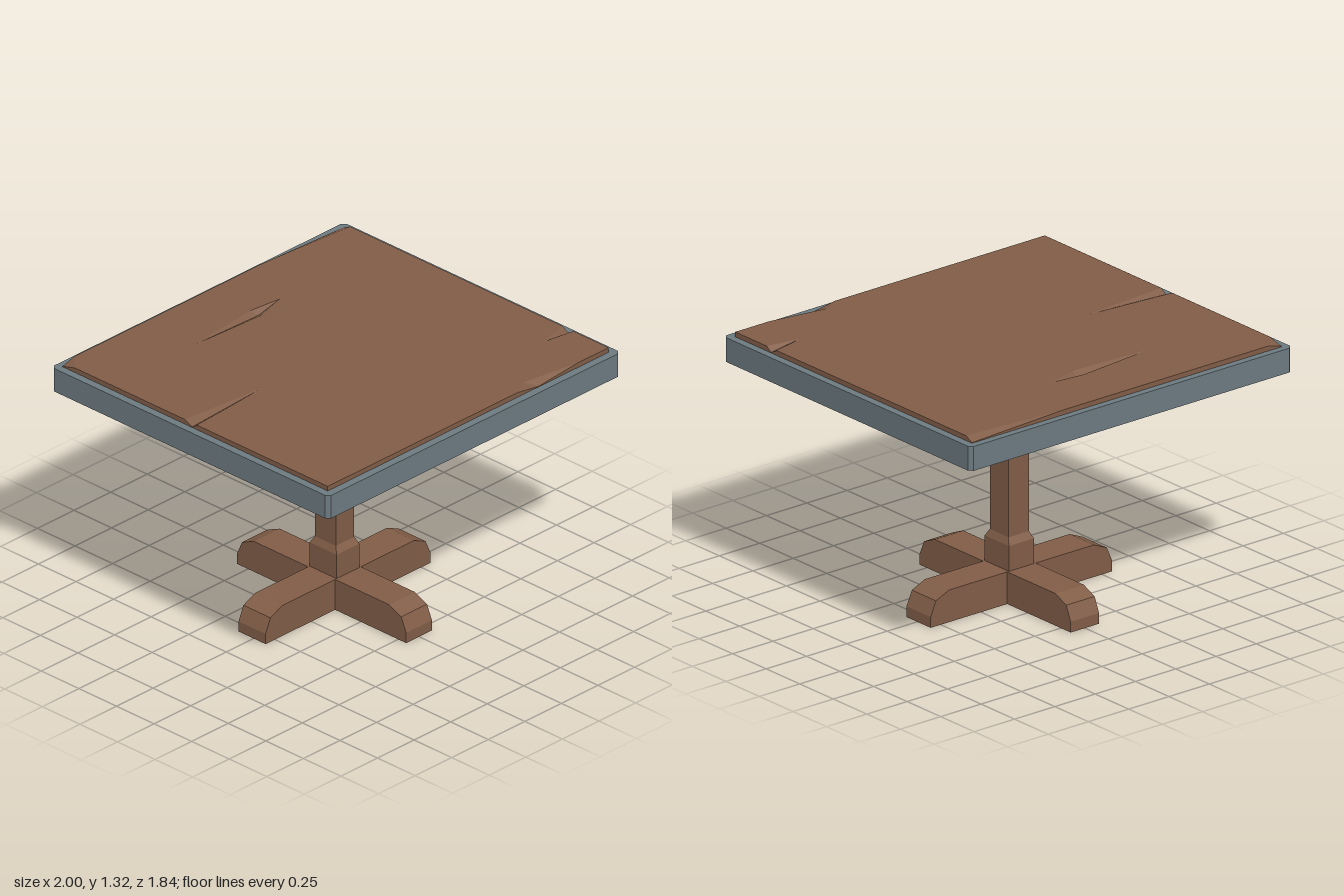
import * as THREE from 'three';

const wood = new THREE.MeshStandardMaterial({ color: 0x815d47 });
wood.name = 'brown wood';
const metal = new THREE.MeshStandardMaterial({ color: 0x6c7a80 });
metal.name = 'blue grey trim';

const TOP = 1.32, DIP = 1.298, UNDER = 1.18;
const CZ = -0.01; // the pedestal sits slightly behind centre

function addMesh(parent, name, geometry, material) {
  const mesh = new THREE.Mesh(geometry, material);
  mesh.name = name;
  parent.add(mesh);
  return mesh;
}

// Four-sided block tapering from half sizes [x, z] at y0 to those at y1
function taperedBlock(y0, y1, low, high) {
  const g = new THREE.BoxGeometry(2, y1 - y0, 2);
  g.translate(0, (y0 + y1) / 2, 0);
  const p = g.attributes.position;
  const mid = (y0 + y1) / 2;
  for (let i = 0; i < p.count; i++) {
    const h = p.getY(i) > mid ? high : low;
    p.setX(i, p.getX(i) * h[0]);
    p.setZ(i, p.getZ(i) * h[1] + CZ);
  }
  const flat = g.toNonIndexed();
  flat.computeVertexNormals();
  return flat;
}

// Worn wooden slab: flat top with V-shaped splits and chipped corners
function slabGeometry() {
  const hi = (x, z) => new THREE.Vector3(x, TOP, z);
  const lo = (x, z) => new THREE.Vector3(x, DIP, z);
  const X = 0.96, F = 0.88, B = -0.885;
  // Rim, counter-clockwise from above; notches run a, valley v, b, inner tip t
  const rim = [
    { p: hi(-X, F) },
    { a: hi(0.34, F), v: lo(0.48, F), b: hi(0.75, F), t: hi(0.43, 0.83) },
    { p: hi(X, F) },
    { a: hi(X, 0.645), v: lo(X, 0.612), b: hi(X, 0.57), t: hi(0.78, 0.615) },
    { a: hi(X, -0.84), v: lo(X, B), b: hi(0.4, B) },
    { a: hi(-0.88, B), v: lo(-X, B), b: hi(-X, -0.8) },
    { a: hi(-X, -0.07), v: lo(-X, -0.022), b: hi(-X, 0.01), t: hi(-0.47, -0.025) },
  ];
  const pos = [];
  const tri = (...pts) => pts.forEach((q) => pos.push(q.x, q.y, q.z));
  const outline = [], edge = [];
  for (const { p, a, v, b, t } of rim) {
    if (p) {
      outline.push(p);
      edge.push(p);
      continue;
    }
    outline.push(...(t ? [a, t, b] : [a, b]));
    edge.push(a, v, b);
    if (t) {
      tri(a, v, t);
      tri(v, b, t);
    } else tri(a, v, b);
  }

  // Split in the middle of the top
  const split = [hi(-0.4, -0.555), hi(0.04, -0.53), hi(0.21, -0.58), hi(0.03, -0.6)];
  const valley = lo(0.05, -0.567);
  split.forEach((q, i) => tri(q, split[(i + 1) % 4], valley));

  // Flat top around the notches
  const hole = [...split].reverse();
  const flat = (list) => list.map((q) => new THREE.Vector2(q.x, -q.z));
  const all = [...outline, ...hole];
  for (const f of THREE.ShapeUtils.triangulateShape(flat(outline), [flat(hole)])) {
    tri(all[f[0]], all[f[1]], all[f[2]]);
  }

  // Side walls and underside
  const down = (q) => new THREE.Vector3(q.x, UNDER, q.z);
  edge.forEach((q, i) => {
    const r = edge[(i + 1) % edge.length];
    tri(down(q), down(r), r);
    tri(down(q), r, q);
  });
  const c = [hi(-X, F), hi(X, F), hi(X, B), hi(-X, B)].map(down);
  tri(c[0], c[2], c[1]);
  tri(c[0], c[3], c[2]);

  const g = new THREE.BufferGeometry();
  g.setAttribute('position', new THREE.Float32BufferAttribute(pos, 3));
  g.computeVertexNormals();
  return g;
}

// Square ring with clipped corners
function frameGeometry() {
  const x = 1, z = 0.922, c = 0.02;
  const s = new THREE.Shape([
    [-x + c, -z], [x - c, -z], [x, -z + c], [x, z - c],
    [x - c, z], [-x + c, z], [-x, z - c], [-x, -z + c],
  ].map(([u, v]) => new THREE.Vector2(u, v)));
  s.holes.push(new THREE.Path([
    [-0.96, -0.88], [-0.96, 0.885], [0.96, 0.885], [0.96, -0.88],
  ].map(([u, v]) => new THREE.Vector2(u, v))));
  const g = new THREE.ExtrudeGeometry(s, { depth: 0.125, bevelEnabled: false });
  return g.rotateX(-Math.PI / 2).translate(0, 1.17, 0);
}

// Foot beam along x with sloping ends
function footGeometry(width) {
  const half = [[0.563, 0], [0.563, 0.055], [0.53, 0.13], [0.45, 0.165]];
  const mirrored = half.map(([x, y]) => [-x, y]).reverse();
  const s = new THREE.Shape([...half, ...mirrored].map(([x, y]) => new THREE.Vector2(x, y)));
  const g = new THREE.ExtrudeGeometry(s, { depth: width, bevelEnabled: false });
  return g.translate(0, 0, -width / 2);
}

export function createModel() {
  const table = new THREE.Group();
  table.name = 'table';

  addMesh(table, 'tabletop', slabGeometry(), wood);
  addMesh(table, 'tabletopFrame', frameGeometry(), metal);

  // Pedestal from floor to tabletop
  const collar = [0.078, 0.09], shaft = [0.063, 0.07], flare = [0.15, 0.162];
  const pedestal = new THREE.Group();
  pedestal.name = 'pedestal';
  table.add(pedestal);
  addMesh(pedestal, 'collar', taperedBlock(0.1, 0.295, collar, collar), wood);
  addMesh(pedestal, 'collarBevel', taperedBlock(0.295, 0.33, collar, shaft), wood);
  addMesh(pedestal, 'post', taperedBlock(0.33, 1.065, shaft, shaft), wood);
  addMesh(pedestal, 'capital', taperedBlock(1.065, UNDER, shaft, flare), wood);

  // Crossed feet
  const sideFoot = addMesh(table, 'sideFoot', footGeometry(0.18), wood);
  sideFoot.position.z = CZ;
  const frontFoot = addMesh(table, 'frontFoot', footGeometry(0.176), wood);
  frontFoot.rotation.y = Math.PI / 2;
  frontFoot.position.z = CZ;

  return table;
}
